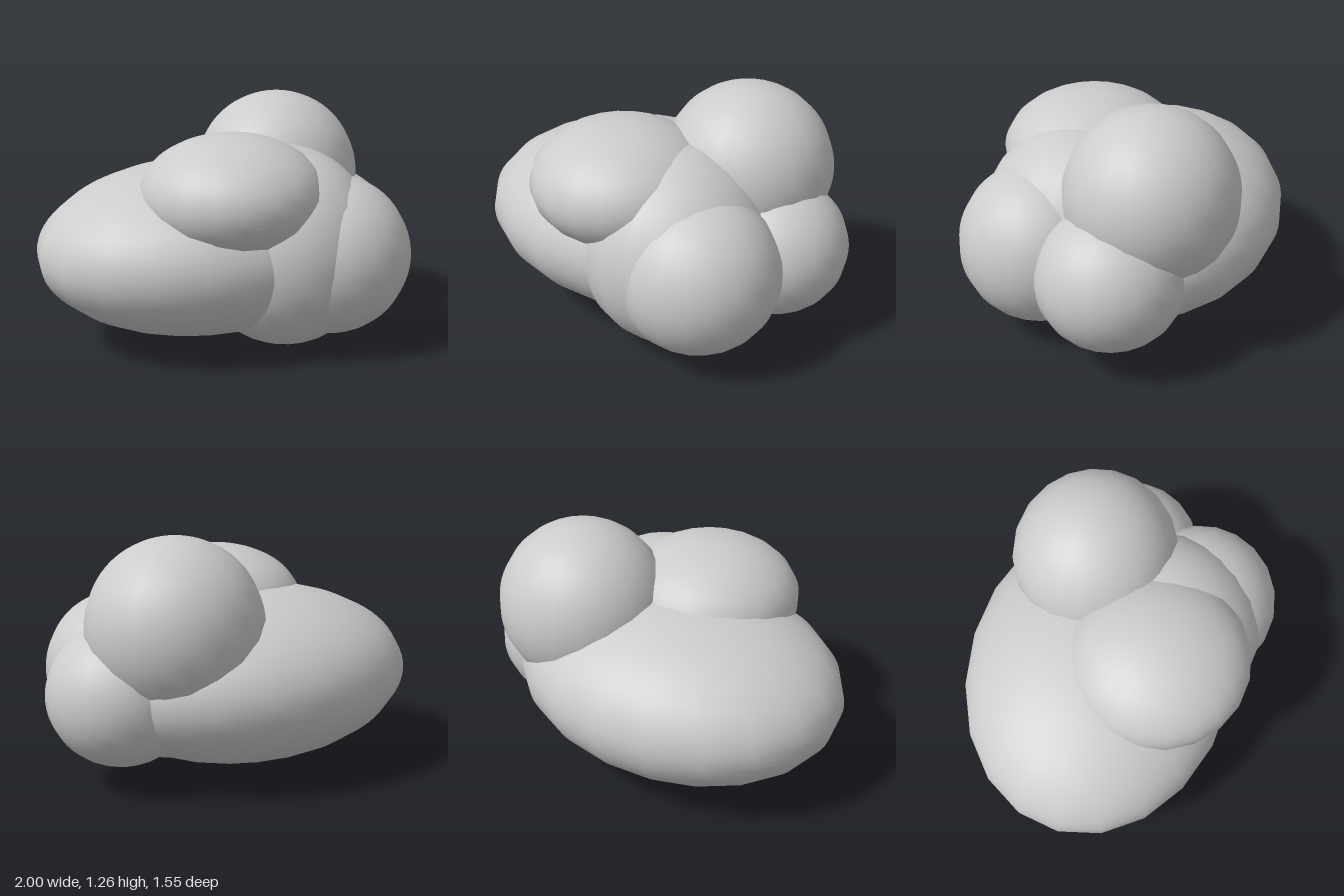
import * as THREE from 'three';

export function createModel() {
  const model = new THREE.Group();
  model.name = 'cloud';
  const material = new THREE.MeshStandardMaterial({ color: 0xcccccc });

  // Each puff is an ellipsoid: name, centre, radii
  const puffs = [
    ['mainPuff', [-0.1, 0.5, -0.07], [0.9, 0.45, 0.705]],
    ['topBackPuff', [0.395, 0.82, -0.217], [0.445, 0.44, 0.434]],
    ['topFrontPuff', [-0.09, 0.82, 0.23], [0.468, 0.308, 0.47]],
    ['middlePuff', [0.21, 0.522, 0.208], [0.485, 0.52, 0.515]],
    ['frontPuff', [0.4, 0.49, 0.36], [0.42, 0.412, 0.412]],
    ['sidePuff', [0.622, 0.48, -0.08], [0.378, 0.36, 0.374]],
  ];

  for (const [name, centre, radii] of puffs) {
    const geometry = new THREE.SphereGeometry(1, 20, 40);
    geometry.scale(...radii);
    const puff = new THREE.Mesh(geometry, material);
    puff.name = name;
    puff.position.set(...centre);
    model.add(puff);
  }
  return model;
}
